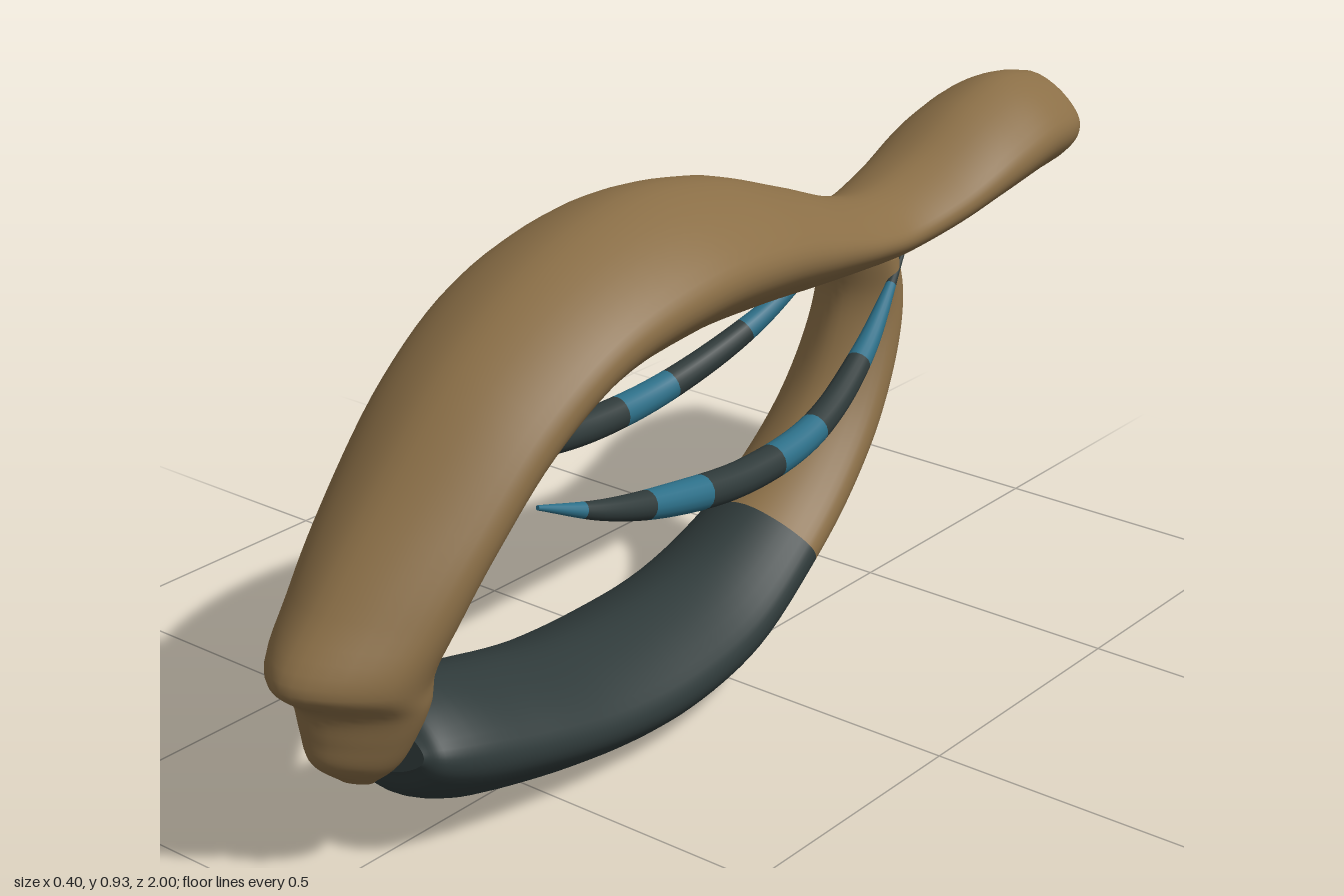
import * as THREE from 'three';

const wood = new THREE.MeshStandardMaterial({ color: 0x8b6f47 });
wood.name = 'brown';
const dark = new THREE.MeshStandardMaterial({ color: 0x2f3a3a });
dark.name = 'charcoal';
const teal = new THREE.MeshStandardMaterial({ color: 0x2c6f88 });
teal.name = 'teal';

// Soft ridged cross-section, clockwise from the top ridge (x = width, y = thickness)
const half = [[0, 1], [0.5, 0.78], [0.92, 0.3], [1, 0], [0.92, -0.32], [0.5, -0.82]];
const ridged = new THREE.CatmullRomCurve3(
  [...half, ...half.map(([x, y]) => [-x, -y]).map(([x, y], i) => (i === 0 ? [0, -1] : [x, -half[i][1]]))]
    .map(([x, y], i, all) => (i <= 6 ? new THREE.Vector3(x, y, 0)
      : new THREE.Vector3(-all[12 - i][0], all[12 - i][1], 0))),
  true).getPoints(40).slice(0, 40);

// Skin over rings of points that run from front to back, with flat end caps
function loft(rings, materialOf) {
  const n = rings[0].length, pos = [], index = [];
  const geo = new THREE.BufferGeometry();
  rings.forEach((r) => r.forEach((p) => pos.push(p.x, p.y, p.z)));
  const group = (start, row) => geo.addGroup(start, index.length - start, materialOf(row));
  for (let i = 0; i < rings.length - 1; i++) {
    const start = index.length;
    for (let j = 0; j < n; j++) {
      const a = i * n + j, b = i * n + (j + 1) % n;
      index.push(a, b, a + n, b, b + n, a + n);
    }
    group(start, i);
  }
  [[0, true], [rings.length - 1, false]].forEach(([k, front]) => {
    const base = pos.length / 3, start = index.length;
    const mid = new THREE.Vector3();
    rings[k].forEach((p) => { mid.addScaledVector(p, 1 / n); pos.push(p.x, p.y, p.z); });
    pos.push(mid.x, mid.y, mid.z);
    for (let j = 0; j < n; j++) {
      const a = base + j, b = base + (j + 1) % n;
      if (front) index.push(base + n, b, a);
      else index.push(base + n, a, b);
    }
    group(start, Math.min(k, rings.length - 2));
  });
  geo.setAttribute('position', new THREE.Float32BufferAttribute(pos, 3));
  geo.setIndex(index);
  geo.computeVertexNormals();
  return geo;
}

// Stations: [upper z, upper y, lower z, lower y, half width]
function limbRings(stations, steps) {
  const upper = new THREE.CatmullRomCurve3(stations.map((s) => new THREE.Vector3(s[4], s[1], s[0])));
  const lower = new THREE.CatmullRomCurve3(stations.map((s) => new THREE.Vector3(s[4], s[3], s[2])));
  const rings = [];
  const count = (stations.length - 1) * steps;
  for (let i = 0; i <= count; i++) {
    const u = upper.getPoint(i / count), l = lower.getPoint(i / count);
    const w = (u.x + l.x) / 2;
    const c = u.clone().add(l).multiplyScalar(0.5).setX(0);
    const up = u.sub(l).multiplyScalar(0.5).setX(0);
    rings.push(ridged.map((p) => c.clone().addScaledVector(up, p.y).setX(w * p.x)));
  }
  return rings;
}

function mesh(name, geo, materials) {
  const m = new THREE.Mesh(geo, materials);
  m.name = name;
  return m;
}

export function createModel() {
  const model = new THREE.Group();
  model.name = 'curvedFrame';

  // Arched upper limb with a notched nose and a flared tail
  const upperLimb = [
    [0.88, 0.168, 0.82, 0.155, 0.03],
    [0.935, 0.22, 0.77, 0.18, 0.07],
    [0.942, 0.265, 0.74, 0.23, 0.095],
    [0.95, 0.315, 0.72, 0.28, 0.115],
    [0.998, 0.368, 0.71, 0.33, 0.13],
    [0.92, 0.47, 0.67, 0.41, 0.15],
    [0.8, 0.6, 0.62, 0.49, 0.166],
    [0.62, 0.77, 0.54, 0.575, 0.18],
    [0.42, 0.88, 0.42, 0.655, 0.194],
    [0.2, 0.93, 0.2, 0.687, 0.202],
    [0, 0.91, 0, 0.68, 0.187],
    [-0.2, 0.842, -0.2, 0.66, 0.15],
    [-0.36, 0.782, -0.36, 0.647, 0.122],
    [-0.46, 0.765, -0.46, 0.642, 0.114],
    [-0.6, 0.795, -0.6, 0.655, 0.128],
    [-0.75, 0.86, -0.75, 0.675, 0.143],
    [-0.87, 0.89, -0.87, 0.688, 0.14],
    [-0.97, 0.876, -0.97, 0.694, 0.121],
    [-0.995, 0.866, -0.995, 0.7, 0.108],
    [-1, 0.85, -1, 0.715, 0.098],
  ];
  model.add(mesh('upperLimb', loft(limbRings(upperLimb, 6), () => 0), [wood]));

  // Lower limb: dark front grip and brown rear strut that climbs to the neck
  const lowerLimb = [
    [0.795, 0.25, 0.815, 0.165, 0.1],
    [0.77, 0.277, 0.795, 0.12, 0.125],
    [0.71, 0.285, 0.72, 0.075, 0.145],
    [0.58, 0.255, 0.56, 0.036, 0.16],
    [0.4, 0.215, 0.38, 0.01, 0.166],
    [0.2, 0.205, 0.22, 0.004, 0.164],
    [0.02, 0.225, 0.02, 0.033, 0.148],
    [-0.115, 0.28, -0.19, 0.138, 0.126],
    [-0.21, 0.345, -0.31, 0.225, 0.115],
    [-0.3, 0.435, -0.42, 0.345, 0.104],
    [-0.355, 0.53, -0.495, 0.49, 0.094],
    [-0.375, 0.6, -0.512, 0.59, 0.088],
    [-0.365, 0.67, -0.5, 0.66, 0.084],
  ];
  model.add(mesh('lowerLimb', loft(limbRings(lowerLimb, 6), (row) => (row < 42 ? 0 : 1)), [dark, wood]));

  // Banded tapering side bows, mirrored
  const bandEnds = [0.5, 0.36, 0.22, 0.03, -0.1, -0.27, -0.42];
  const bow = [
    [0.145, 0.562, 0.585, 0.004], [0.166, 0.52, 0.46, 0.017], [0.17, 0.482, 0.3, 0.027],
    [0.17, 0.457, 0.1, 0.03], [0.158, 0.472, -0.1, 0.027], [0.12, 0.54, -0.29, 0.021],
    [0.07, 0.66, -0.475, 0.004],
  ];
  [['leftBow', 1], ['rightBow', -1]].forEach(([name, side]) => {
    const path = new THREE.CatmullRomCurve3(bow.map(([x, y, z]) => new THREE.Vector3(side * x, y, z)));
    const size = new THREE.CatmullRomCurve3(bow.map((b) => new THREE.Vector3(b[3], 0, b[2])));
    const steps = 120, rings = [];
    for (let i = 0; i <= steps; i++) {
      const c = path.getPoint(i / steps), r = size.getPoint(i / steps).x;
      const t = path.getTangent(i / steps);
      const across = new THREE.Vector3(0, 1, 0).cross(t).normalize().negate();
      const up = across.clone().cross(t).normalize();
      if (up.y < 0) up.negate();
      if (across.x < 0) across.negate();
      rings.push(Array.from({ length: 16 }, (_, j) => {
        const a = (j / 16) * Math.PI * 2;
        return c.clone().addScaledVector(up, r * Math.cos(a)).addScaledVector(across, r * Math.sin(a));
      }));
    }
    const band = (row) => {
      const z = path.getPoint((row + 0.5) / steps).z;
      return bandEnds.filter((e) => z < e).length % 2;
    };
    model.add(mesh(name, loft(rings, band), [teal, dark]));
  });

  return model;
}
